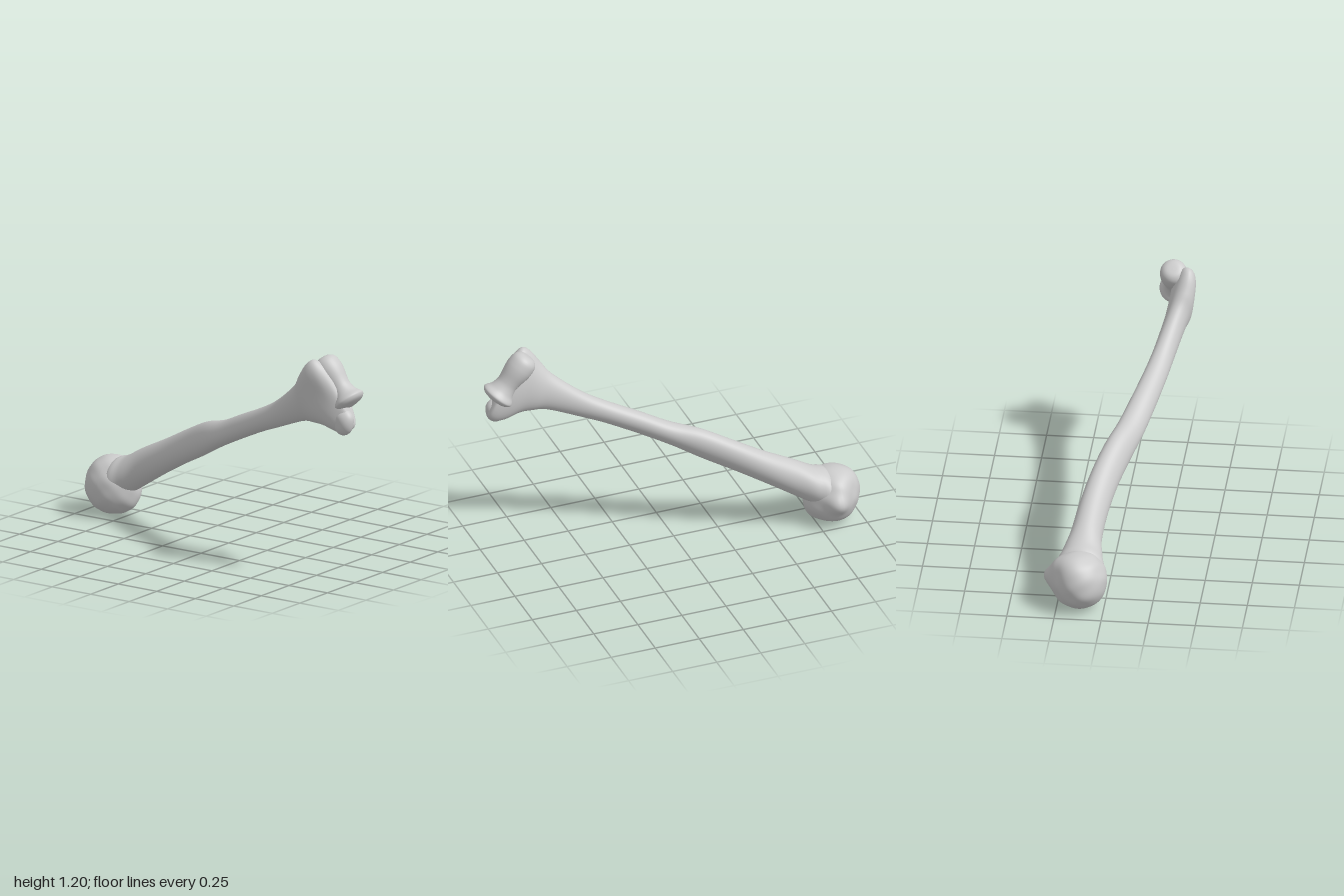
import * as THREE from 'three';

const bone = new THREE.MeshStandardMaterial({ color: 0xcccccc });

// Cheap smooth surface irregularity
const ripple = (x, y, z) =>
  Math.sin(x * 31 + y * 17) * Math.sin(y * 37 - z * 13) + 0.6 * Math.sin(z * 53 + x * 41) * Math.sin(y * 59 + 1);

// Cross-sections from elbow to shoulder:
// centre z, x, y; half thickness in x; half height vector (y, z, x); hollow on the -x side
const SECTIONS = [
  [0.920, -0.220, 0.975, 0.004, 0.020, -0.010, 0.000, 0],
  [0.912, -0.222, 0.980, 0.040, 0.120, -0.058, -0.010, 0.1],
  [0.870, -0.238, 0.988, 0.058, 0.172, -0.070, -0.020, 0.25],
  [0.815, -0.250, 0.998, 0.072, 0.193, -0.066, -0.024, 0.35],
  [0.750, -0.253, 0.994, 0.075, 0.166, -0.046, -0.024, 0.28],
  [0.690, -0.242, 0.962, 0.072, 0.130, -0.035, -0.020, 0.12],
  [0.620, -0.220, 0.922, 0.061, 0.097, -0.022, -0.010, 0],
  [0.460, -0.181, 0.832, 0.058, 0.075, -0.005, 0, 0],
  [0.330, -0.149, 0.770, 0.061, 0.067, 0, 0.004, 0],
  [0.150, -0.098, 0.688, 0.066, 0.068, 0, 0.008, 0],
  [0.000, -0.050, 0.617, 0.070, 0.071, 0, 0.010, 0],
  [-0.153, 0.006, 0.552, 0.072, 0.090, 0, 0.010, 0],
  [-0.314, 0.058, 0.472, 0.073, 0.093, 0, 0.010, 0],
  [-0.475, 0.096, 0.384, 0.077, 0.096, 0, 0.006, 0],
  [-0.635, 0.120, 0.295, 0.086, 0.106, 0, 0, 0],
  [-0.740, 0.130, 0.232, 0.112, 0.109, 0, 0, 0],
  [-0.820, 0.135, 0.190, 0.125, 0.118, 0, 0, 0],
  [-0.900, 0.140, 0.180, 0.010, 0.010, 0, 0, 0],
];

function loft(sections, perSpan, sides) {
  const pos = [], idx = [];
  const rings = (sections.length - 1) * perSpan;
  for (let i = 0; i <= rings; i++) {
    const k = Math.min(Math.floor(i / perSpan), sections.length - 2), t = i / perSpan - k;
    const at = n => sections[Math.max(0, Math.min(sections.length - 1, n))];
    // Cubic blend of every section parameter
    const [z, x, y, hx, hy, hz, wx, hollow] = at(k).map((b, n) => {
      const a = at(k - 1)[n], c = at(k + 1)[n], d = at(k + 2)[n];
      return b + 0.5 * t * (c - a + t * (2 * a - 5 * b + 4 * c - d + t * (3 * (b - c) + d - a)));
    });
    for (let j = 0; j < sides; j++) {
      const a = j / sides * Math.PI * 2, c = Math.cos(a), s = Math.sin(a);
      const thick = c < 0 ? c * (1 - hollow * c ** 4) : c;
      pos.push(x + hx * thick + wx * s, y + hy * s, z + hz * s);
    }
  }
  for (let i = 0; i < rings; i++)
    for (let j = 0; j < sides; j++) {
      const a = i * sides + j, b = i * sides + (j + 1) % sides;
      idx.push(a, a + sides, b, b, a + sides, b + sides);
    }
  const g = new THREE.BufferGeometry();
  g.setAttribute('position', new THREE.Float32BufferAttribute(pos, 3));
  g.setIndex(idx);
  g.computeVertexNormals();
  return g;
}

// Uneven ellipsoid; each swelling is [direction, height, sharpness]
function knob(name, centre, radii, rough, swellings = []) {
  const g = new THREE.SphereGeometry(1, 64, 48);
  const p = g.attributes.position, v = new THREE.Vector3();
  const size = new THREE.Vector3(...radii), middle = new THREE.Vector3(...centre);
  const bumps = swellings.map(([d, h, k]) => [new THREE.Vector3(...d).normalize(), h, k]);
  for (let i = 0; i < p.count; i++) {
    const dir = v.fromBufferAttribute(p, i).clone();
    v.multiply(size).add(middle);
    let lift = rough * ripple(v.x, v.y, v.z);
    for (const [d, h, k] of bumps) lift += h * Math.exp(k * (dir.dot(d) - 1));
    v.addScaledVector(dir, lift);
    p.setXYZ(i, v.x, v.y, v.z);
  }
  g.computeVertexNormals();
  return part(name, g);
}

function part(name, geometry) {
  const m = new THREE.Mesh(geometry, bone);
  m.name = name;
  return m;
}

export function createModel() {
  const model = new THREE.Group();
  model.name = 'armBone';

  // Shaft, flaring into the broad lower end with its hollow
  model.add(part('shaft', loft(SECTIONS, 6, 40)));

  // Spool-shaped elbow joint: [radius, distance along axis]
  const profile = [[0, 0], [0.04, 0.004], [0.066, 0.028], [0.073, 0.07], [0.07, 0.11], [0.06, 0.16],
    [0.058, 0.195], [0.068, 0.232], [0.086, 0.258], [0.087, 0.274], [0.065, 0.292], [0, 0.305]];
  const curve = new THREE.SplineCurve(profile.map(([r, t]) => new THREE.Vector2(r, t)));
  const points = curve.getPoints(44).map(p => new THREE.Vector2(Math.max(0, p.x), p.y));
  const joint = part('elbowJoint', new THREE.LatheGeometry(points, 40));
  joint.position.set(-0.197, 1.183, 0.748);
  joint.quaternion.setFromUnitVectors(new THREE.Vector3(0, 1, 0), new THREE.Vector3(0, -0.765, 0.644).normalize());
  model.add(joint);

  // Bump below the elbow joint
  model.add(knob('innerElbowBump', [-0.235, 0.868, 0.915], [0.045, 0.073, 0.058], 0.002));

  // Ball of the shoulder, swelling into its two bumps and the rim between them
  model.add(knob('shoulderBall', [0.128, 0.162, -0.842], [0.144, 0.156, 0.153], 0.002, [
    [[1, 0.05, 0.1], 0.042, 18],
    [[0.75, 0.55, -0.05], 0.022, 12],
    [[0.3, 0.7, -0.6], 0.012, 10],
    [[0.8, -0.5, 0], 0.012, 8],
    [[0, -0.5, 0.85], 0.012, 10],
  ]));
  return model;
}
